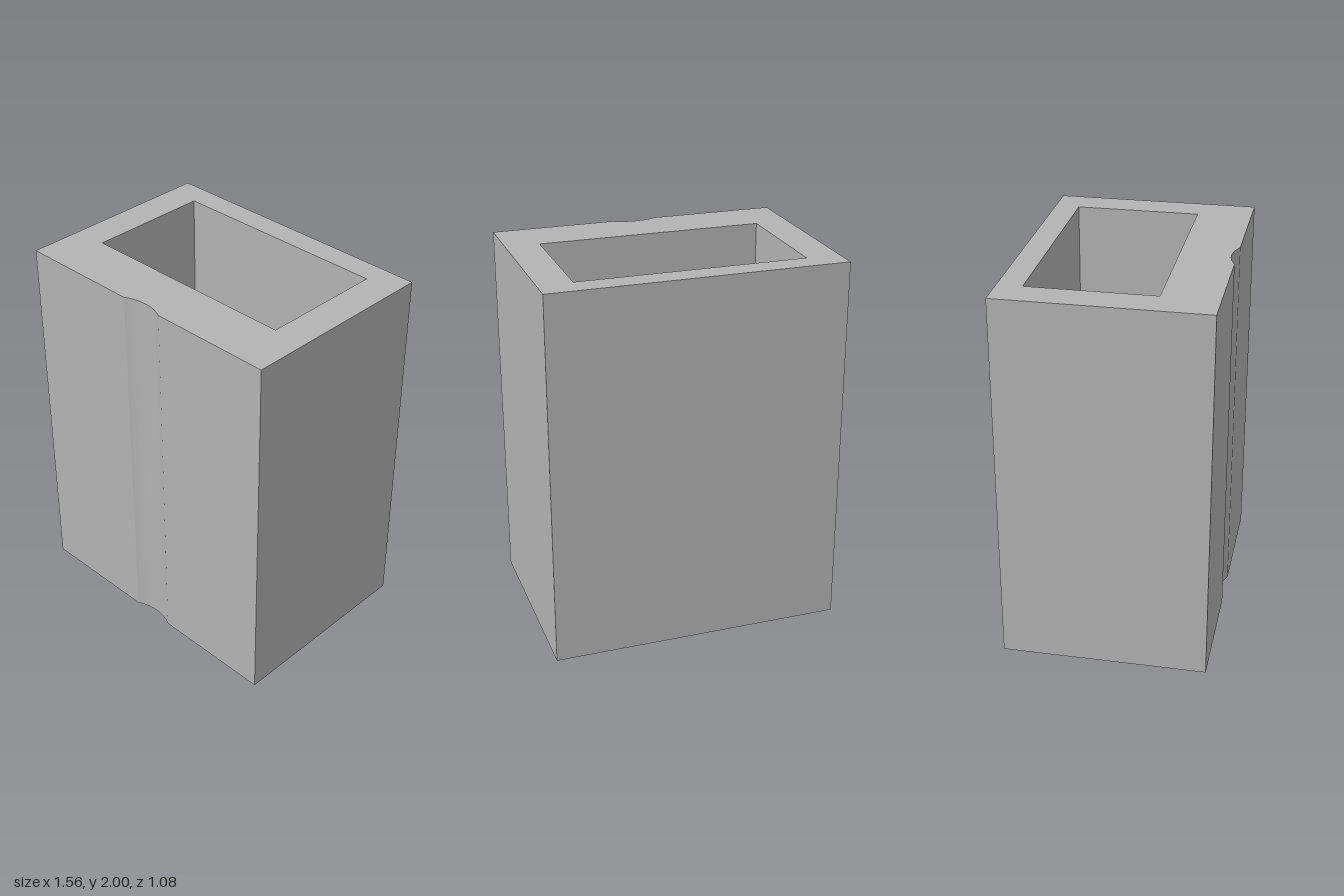
import * as THREE from 'three';
import { toCreasedNormals } from 'three/addons/utils/BufferGeometryUtils.js';

const HEIGHT = 2, HALF_W = 0.78, HALF_D = 0.54;
const FLOOR = 0.13;
const CAVITY = { x: 0.6, back: -0.41, front: 0.25 };
const GROOVE = { half: 0.12, depth: 0.03 };

export function createModel() {
  const group = new THREE.Group();
  group.name = 'groovedBox';
  const grey = new THREE.MeshStandardMaterial({ color: 0xb3b3b3 });
  grey.name = 'grey';

  // Plan outline (shape y is -z) with a shallow round groove in the front edge
  const radius = (GROOVE.half ** 2 + GROOVE.depth ** 2) / (2 * GROOVE.depth);
  const angle = Math.asin(GROOVE.half / radius);
  const centreY = -(HALF_D - GROOVE.depth + radius);
  const outline = new THREE.Shape();
  outline.moveTo(-HALF_W, -HALF_D);
  outline.lineTo(-GROOVE.half, -HALF_D);
  outline.absarc(0, centreY, radius, Math.PI / 2 + angle, Math.PI / 2 - angle, true);
  outline.lineTo(HALF_W, -HALF_D);
  outline.lineTo(HALF_W, HALF_D);
  outline.lineTo(-HALF_W, HALF_D);
  outline.closePath();

  // Rectangular cavity, set nearer the back
  const { x, back, front } = CAVITY;
  outline.holes.push(new THREE.Path([
    new THREE.Vector2(-x, -front), new THREE.Vector2(-x, -back),
    new THREE.Vector2(x, -back), new THREE.Vector2(x, -front),
  ]));

  // Walls, smooth inside the groove and sharp elsewhere
  const extruded = new THREE.ExtrudeGeometry(outline, { depth: HEIGHT, bevelEnabled: false, curveSegments: 16 });
  extruded.rotateX(-Math.PI / 2);
  const walls = new THREE.Mesh(toCreasedNormals(extruded, 0.3), grey);
  walls.name = 'walls';
  group.add(walls);

  // Floor closing the cavity
  const floor = new THREE.Mesh(new THREE.BoxGeometry(2 * x, FLOOR, front - back), grey);
  floor.name = 'floor';
  floor.position.set(0, FLOOR / 2, (front + back) / 2);
  group.add(floor);

  return group;
}
